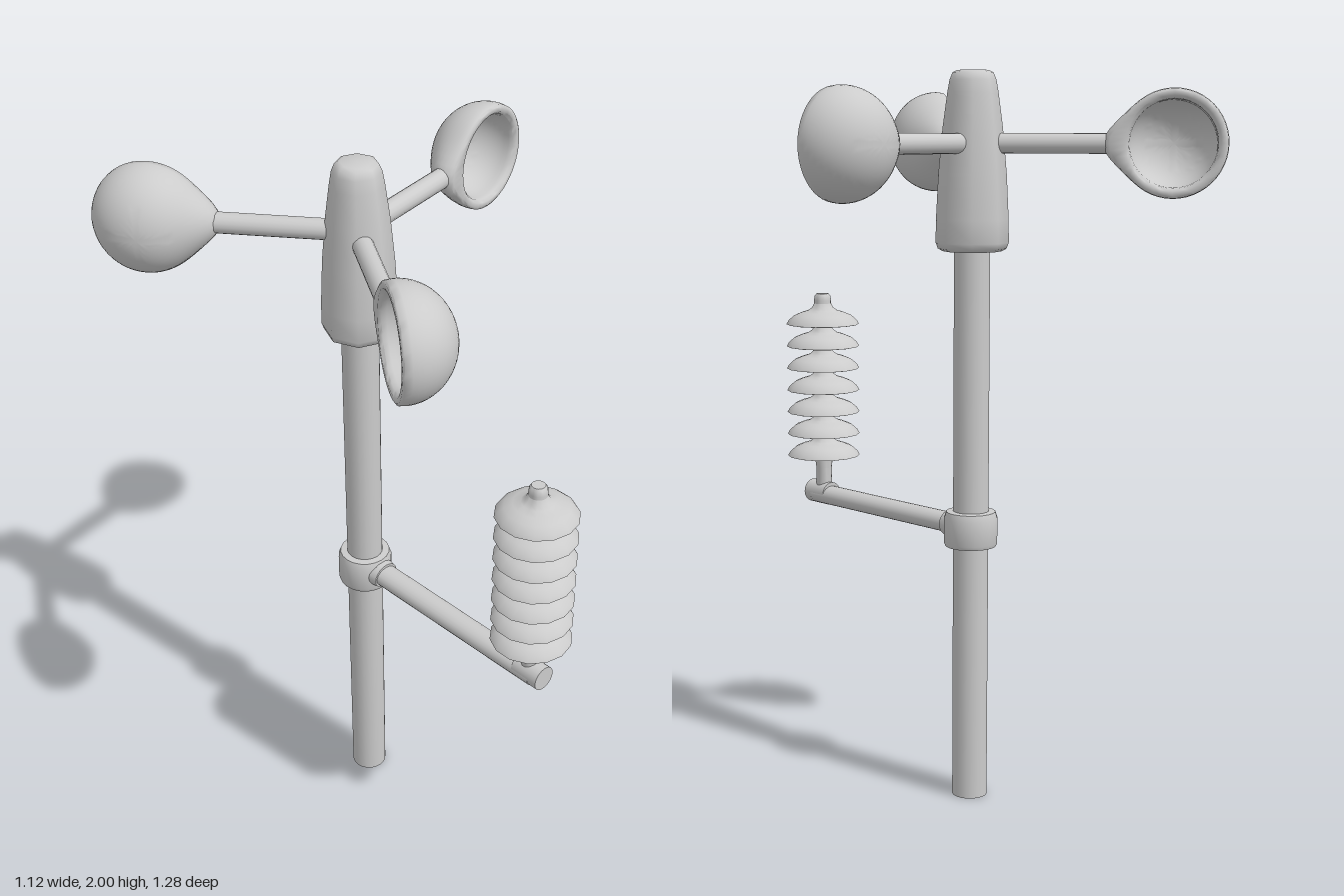
import * as THREE from 'three';
import { toCreasedNormals } from 'three/addons/utils/BufferGeometryUtils.js';

const material = new THREE.MeshStandardMaterial({ color: 0xcccccc });
const AXIS = -0.1; // the pole stands at x = z = AXIS

function add(parent, name, geometry, x = 0, y = 0, z = 0) {
  const mesh = new THREE.Mesh(geometry, material);
  mesh.name = name;
  mesh.position.set(x, y, z);
  parent.add(mesh);
  return mesh;
}

function turned(points, segments) {
  return new THREE.LatheGeometry(points.map(([r, y]) => new THREE.Vector2(r, y)), segments);
}

function lathe(points, segments) {
  return toCreasedNormals(turned(points, segments), 0.9);
}

// Hollow cup opening towards +z, its outside drawn out to a neck towards -x
function cupGeometry() {
  const n = 14, points = [];
  for (let i = 0; i <= n; i++) {
    const a = (i / n) * Math.PI / 2;
    points.push([0.114 * Math.sin(a), 0.02 + 0.11 * Math.cos(a)]);
  }
  points.push([0.116, 0.008], [0.123, 0], [0.135, 0], [0.141, 0.004]);
  const firstOuter = points.length - 2;
  for (let i = 0; i <= n; i++) {
    const a = (i / n) * Math.PI / 2;
    points.push([0.143 * Math.cos(a), 0.022 + 0.134 * Math.sin(a)]);
  }
  const geometry = turned(points, 48).rotateX(-Math.PI / 2);
  const p = geometry.attributes.position;
  const towardsArm = new THREE.Vector3(-0.143, 0, -0.035).normalize();
  const v = new THREE.Vector3();
  for (let i = 0; i < p.count; i++) {
    if (i % points.length < firstOuter) continue;
    v.fromBufferAttribute(p, i).normalize();
    const pull = Math.max(0, v.dot(towardsArm)) ** 10;
    p.setX(i, p.getX(i) - 0.042 * pull);
  }
  return toCreasedNormals(geometry, 0.9);
}

export function createModel() {
  const model = new THREE.Group();
  model.name = 'weatherMast';

  // Pole and rotor hub
  add(model, 'pole', new THREE.CylinderGeometry(0.049, 0.049, 1.56, 20), AXIS, 0.78, AXIS);
  add(model, 'rotorHub', lathe([[0, 1.525], [0.08, 1.525], [0.092, 1.532], [0.098, 1.548], [0.097, 1.61],
    [0.091, 1.73], [0.08, 1.85], [0.068, 1.94], [0.062, 1.975], [0.054, 1.994], [0.042, 2], [0, 2]], 8),
  AXIS, 0, AXIS);

  // Three cup arms
  const cup = cupGeometry();
  const rod = new THREE.CylinderGeometry(0.027, 0.027, 0.37, 16).rotateZ(Math.PI / 2);
  for (const degrees of [9, 128.5, 239]) {
    const arm = new THREE.Group();
    arm.name = 'cupArm';
    arm.position.set(AXIS, 1.81, AXIS - 0.005);
    arm.rotation.y = THREE.MathUtils.degToRad(degrees);
    add(arm, 'armRod', rod, 0.185);
    add(arm, 'cup', cup, 0.524, 0, 0.035);
    model.add(arm);
  }

  // Clamp and bracket carrying the sensor
  add(model, 'clamp', lathe([[0.045, 0.717], [0.07, 0.717], [0.074, 0.727], [0.074, 0.795],
    [0.068, 0.813], [0.045, 0.815]], 20), AXIS, 0, AXIS);
  const socket = add(model, 'clampSocket', new THREE.CylinderGeometry(0.036, 0.045, 0.07, 20).rotateX(Math.PI / 2),
    AXIS, 0.768, -0.05);
  socket.scale.x = 1.1;
  const bracket = add(model, 'bracketArm', new THREE.CylinderGeometry(0.028, 0.028, 0.63, 20).rotateX(Math.PI / 2),
    AXIS, 0.768, 0.235);
  bracket.scale.x = 1.25;
  add(model, 'bracketEnd', new THREE.CylinderGeometry(0.034, 0.034, 0.085, 20).rotateX(Math.PI / 2),
    AXIS, 0.773, 0.535);

  // Sensor shield: a stem with seven stacked domed plates
  const shield = new THREE.Group();
  shield.name = 'sensorShield';
  shield.position.set(AXIS, 0, 0.526);
  model.add(shield);
  add(shield, 'stem', lathe([[0, 0.76], [0.024, 0.76], [0.023, 0.85], [0.028, 0.89], [0.025, 0.92],
    [0.025, 1.35], [0.023, 1.363], [0.018, 1.37], [0, 1.37]], 14));
  const plate = lathe([[0.02, 0.034], [0.055, 0.027], [0.08, 0.016], [0.103, 0], [0.107, 0.001], [0.1, 0.013],
    [0.084, 0.027], [0.062, 0.036], [0.042, 0.042], [0.031, 0.05], [0.024, 0.064]], 14);
  for (let i = 0; i < 7; i++) add(shield, 'shieldPlate', plate, 0, 0.886 + i * 0.0655, 0);

  return model;
}
